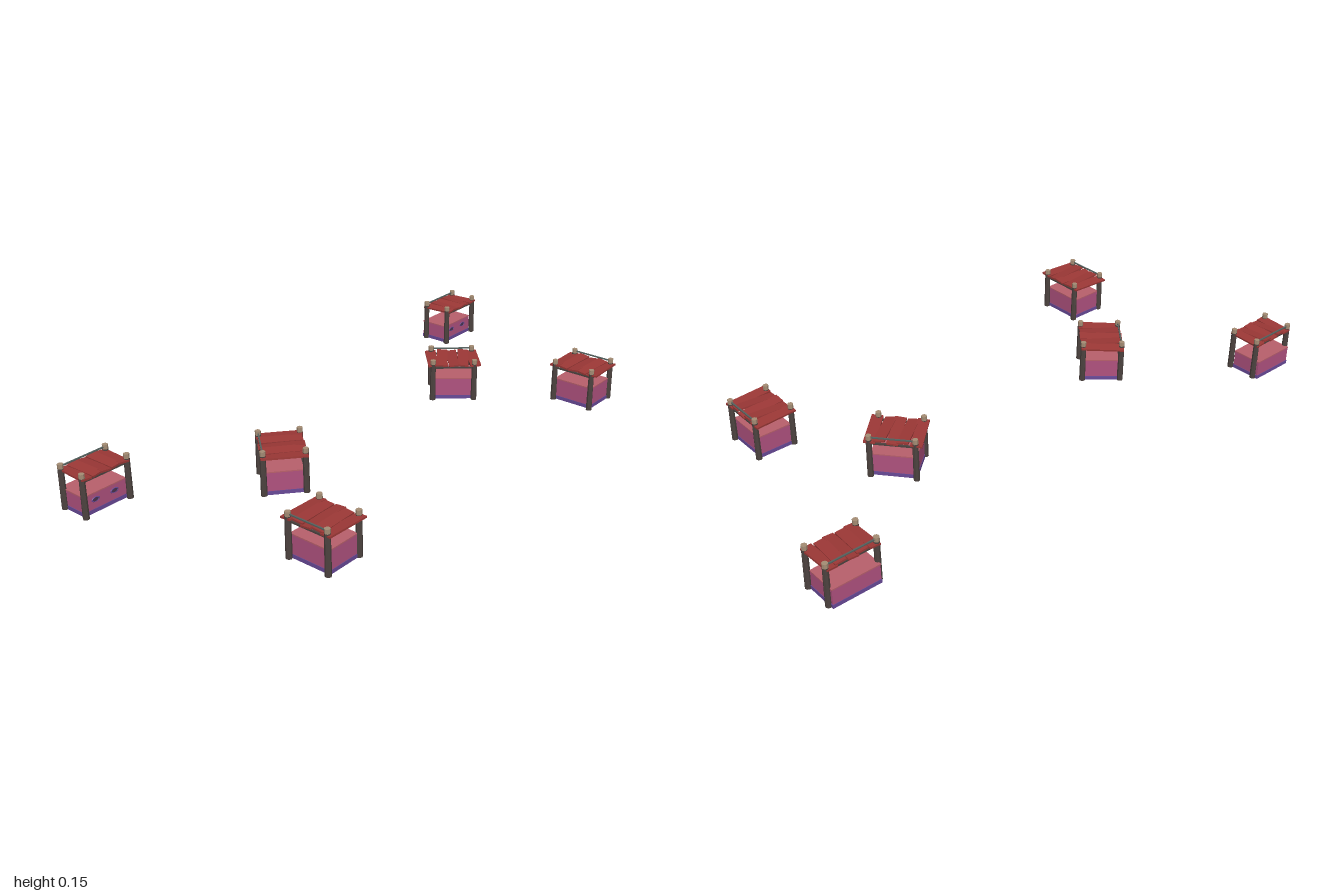
import * as THREE from 'three';

const mat = (color) => new THREE.MeshStandardMaterial({ color, flatShading: true });

export function createModel() {
  const model = new THREE.Group();
  model.name = 'marketStalls';

  const wood = mat(0x4d4340), cut = mat(0xa58d75), roofRed = mat(0x9c3836), pink = mat(0xb0527f);
  const salmon = mat(0xb9606c), purple = mat(0x694a98), slate = mat(0x56625f), dark = mat(0x4a3550);

  function add(parent, name, geometry, material, x, y, z) {
    const mesh = new THREE.Mesh(geometry, material);
    mesh.name = name;
    mesh.position.set(x, y, z);
    parent.add(mesh);
    return mesh;
  }
  const box = (w, h, d) => new THREE.BoxGeometry(w, h, d);

  // One stall: long side on local x, customer side on local +z
  function makeStall(name, o, side) {
    const stall = new THREE.Group();
    stall.name = name;

    // Counter: purple plinth, pink body, thin worktop
    add(stall, 'plinth', box(o.boxW + 0.003, 0.013, o.boxD + 0.003), purple, 0, 0.0065, o.boxZ);
    add(stall, 'counter', box(o.boxW, o.boxH - 0.017, o.boxD), pink, 0, (o.boxH + 0.009) / 2, o.boxZ);
    add(stall, 'worktop', box(o.boxW + 0.002, 0.004, o.boxD + 0.002), salmon, 0, o.boxH - 0.002, o.boxZ);

    // Corner posts with pale cut ends above the roof
    for (const sx of [-1, 1]) for (const sz of [-1, 1]) {
      const x = sx * o.postX, z = sz * o.postZ;
      add(stall, 'post', new THREE.CylinderGeometry(0.0095, 0.0105, 0.138, 8), wood, x, 0.069, z);
      add(stall, 'postTop', new THREE.CylinderGeometry(0.0095, 0.0095, 0.016, 8), cut, x, 0.145, z);
    }

    // Rails carrying the roof, and a thin bar along the rear
    for (const sz of [-1, 1]) {
      add(stall, 'roofRail', box(o.postX * 2, 0.006, 0.006), wood, 0, 0.124, sz * o.postZ);
    }
    add(stall, 'rearBar', box(o.postX * 2, 0.004, 0.005), slate, 0, 0.145, -o.postZ);

    // Uneven roof planks
    const yaw = [0.04, -0.05, 0.03, -0.06, 0.05], tilt = [0.1, -0.08, 0.12, -0.1, 0.07];
    const step = o.roofW / 5;
    for (let i = 0; i < 5; i++) {
      const plank = add(stall, 'roofPlank', box(step * 1.02, 0.006, o.roofD - 0.006 * (i % 2)),
        roofRed, side * (i - 2) * step, 0.132 + 0.002 * (i % 2), 0);
      plank.rotation.set(0.02 * (i % 2 ? 1 : -1), side * yaw[i], side * tilt[i]);
    }

    // Oval holes with rims on the counter front
    if (o.ovals) for (const sx of [-1, 1]) {
      const z = o.boxZ + o.boxD / 2, x = sx * 0.036;
      const rim = add(stall, 'ovalRim', new THREE.TorusGeometry(0.013, 0.003, 6, 16), purple, x, 0.043, z);
      rim.scale.set(1, 0.55, 0.6);
      const hole = add(stall, 'ovalHole', new THREE.CircleGeometry(0.012, 16), dark, x, 0.043, z + 0.0008);
      hole.scale.y = 0.55;
    }
    return stall;
  }

  const wide = { boxW: 0.163, boxD: 0.106, boxH: 0.068, boxZ: -0.014, postX: 0.085, postZ: 0.05, roofW: 0.178, roofD: 0.122, ovals: true };
  const small = { boxW: 0.147, boxD: 0.118, boxH: 0.08, boxZ: 0, postX: 0.074, postZ: 0.0665, roofW: 0.187, roofD: 0.148 };

  // Three stalls on each side
  const layout = [
    ['rearStall', wide, 0.904, -0.386, 0],
    ['middleStall', small, 0.45, -0.038, -0.87],
    ['frontStall', small, 0.699, 0.358, -Math.PI / 2],
  ];
  for (const side of [1, -1]) for (const [name, spec, x, z, turn] of layout) {
    const stall = makeStall((side > 0 ? 'left ' : 'right ') + name, spec, side);
    stall.position.set(side * x, 0, z);
    stall.rotation.y = side * turn;
    model.add(stall);
  }
  return model;
}
